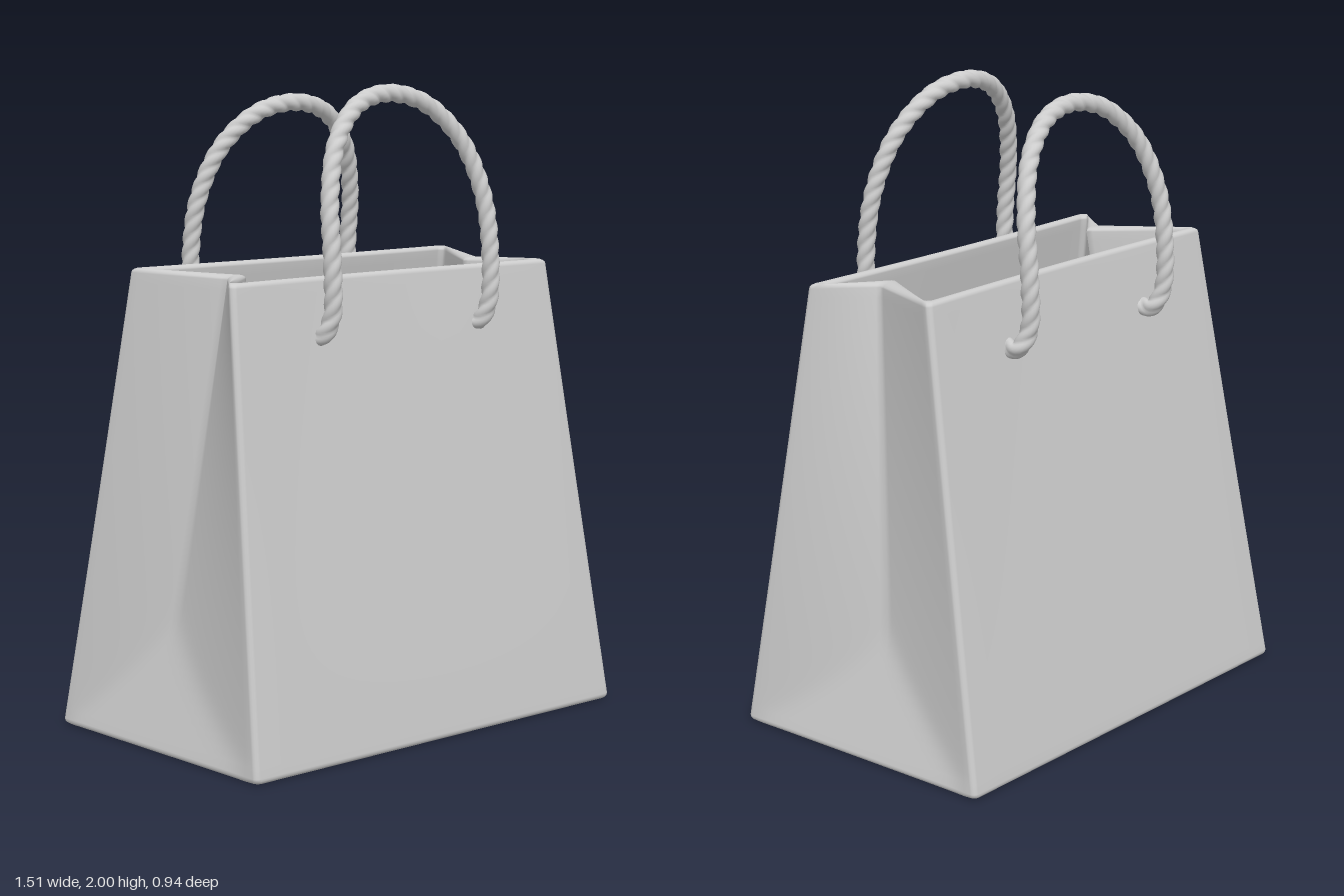
import * as THREE from 'three';
import { mergeVertices } from 'three/addons/utils/BufferGeometryUtils.js';

const { lerp } = THREE.MathUtils;
const HEIGHT = 1.42, WALL = 0.038, R = 0.018;
const softMin = (a, b) => 0.5 * (a + b - Math.hypot(a - b, 0.008));

// Horizontal cross-section of the bag at height y, with folded-in sides.
// Runs front left-to-right, right side, back, left side.
function section(y, inset, extraFold = 0, scale = 1) {
  const f = y / HEIGHT;
  const X = lerp(0.757, 0.66, f) - inset;
  const F = lerp(0.475, 0.262, f) - inset;
  const B = lerp(-0.475, -0.225, f) + inset;
  const g = (y - 0.38) / (HEIGHT - 0.38);
  const foldZ = lerp(-0.03, 0.085, g);
  const foldDepth = lerp(0.09, 0.13, g) + extraFold;
  const half = [];
  const panel = (k, z) => {
    const sag = 0.06 * Math.cos(k * Math.PI / 2) * f ** 3;
    half.push([k * (X - R), z * (1 - sag)]);
  };
  const arc = (cz, from) => {
    for (let k = 1; k <= 4; k++) {
      const a = from - k * Math.PI / 8;
      half.push([X - R + R * Math.cos(a), cz + R * Math.sin(a)]);
    }
  };
  const side = (z) => {
    const v = z > foldZ ? (F - R - z) / (F - R - foldZ) : (z - B - R) / (foldZ - B - R);
    half.push([X - softMin(foldDepth * v, 0.09 * y / 0.38), z]);
  };
  const N = 8, M = 16;
  for (let k = 0; k <= N; k++) panel(k / N, F);
  arc(F - R, Math.PI / 2);
  for (let k = 1; k <= M; k++) side(lerp(F - R, foldZ, k / M));
  for (let k = 1; k < M; k++) side(lerp(foldZ, B + R, k / M));
  half.push([X, B + R]);
  arc(B + R, 0);
  for (let k = N - 1; k >= 0; k--) panel(k / N, B);
  const mirrored = half.slice(1, -1).reverse().map(([x, z]) => [-x, z]);
  return [...half, ...mirrored].map(([x, z]) =>
    [x * scale, y * (1 + (0.015 - 0.03 * z) * f * f * 0.9), z * scale]);
}

// Closed skin: underside, outer walls, rounded rim, inner walls, floor
function bagGeometry() {
  const rows = [section(0, R, 0, 0.001), section(0, R, 0, 0.97)];
  for (let k = 0; k <= 4; k++) {
    const a = k * Math.PI / 8;
    rows.push(section(R * (1 - Math.cos(a)), R * (1 - Math.sin(a))));
  }
  const STEPS = 48;
  for (let k = 1; k <= STEPS; k++) rows.push(section(lerp(R, HEIGHT - 0.012, k / STEPS), 0));
  const outer = section(HEIGHT - 0.012, 0), inner = section(HEIGHT - 0.012, WALL, 0.035);
  for (let k = 1; k < 8; k++) {
    const a = k * Math.PI / 8, w = (1 - Math.cos(a)) / 2;
    rows.push(outer.map((p, i) => [
      lerp(p[0], inner[i][0], w),
      lerp(p[1], inner[i][1], w) + 0.014 * Math.sin(a),
      lerp(p[2], inner[i][2], w)]));
  }
  for (let k = STEPS; k >= 0; k--) rows.push(section(lerp(0.04, HEIGHT - 0.012, k / STEPS), WALL, 0.035));
  rows.push(section(0.04, WALL, 0.035, 0.97), section(0.04, WALL, 0.035, 0.001));

  const n = rows[0].length, index = [];
  for (let r = 0; r < rows.length - 1; r++) {
    for (let i = 0; i < n; i++) {
      const a = r * n + i, b = r * n + (i + 1) % n;
      index.push(a, b, b + n, a, b + n, a + n);
    }
  }
  const geo = new THREE.BufferGeometry();
  geo.setAttribute('position', new THREE.Float32BufferAttribute(rows.flat(2), 3));
  geo.setIndex(index);
  geo.computeVertexNormals();
  return geo;
}

// One continuous twisted cord: two arches joined by runs through the bag
function cordGeometry() {
  const leg = [
    [0.325, 1.265, 0.19], [0.33, 1.255, 0.28], [0.33, 1.31, 0.307], [0.332, 1.48, 0.312],
    [0.32, 1.66, 0.288], [0.26, 1.825, 0.25], [0.145, 1.935, 0.215]];
  const arch = (zSide, shift, drop) => {
    const place = ([x, y, z], s) => new THREE.Vector3(
      s * x + (y > 1.3 ? shift : 0), y > 1.3 ? y - drop * (y - 1.3) : y, zSide * z);
    return [
      ...leg.map((p) => place(p, zSide)),
      place([0, 1.97, 0.2], 1),
      ...leg.slice().reverse().map((p) => place(p, -zSide))];
  };
  const path = new THREE.CatmullRomCurve3([
    ...arch(1, 0.015, 0), new THREE.Vector3(-0.325, 1.262, 0),
    ...arch(-1, -0.02, 0.05), new THREE.Vector3(0.325, 1.262, 0)], true);
  path.arcLengthDivisions = 1000;

  const SEG = 720, SIDES = 18, TURNS = 30;
  const geo = new THREE.TubeGeometry(path, SEG, 1, SIDES, true);
  const pos = geo.attributes.position, v = new THREE.Vector3();
  for (let i = 0; i <= SEG; i++) {
    const c = path.getPointAt((i % SEG) / SEG);
    for (let j = 0; j <= SIDES; j++) {
      const id = i * (SIDES + 1) + j;
      const angle = (j / SIDES + TURNS * i / SEG) * Math.PI * 2;
      const radius = 0.023 + 0.006 * Math.abs(Math.cos(1.5 * angle)); // three strands
      v.fromBufferAttribute(pos, id).sub(c).multiplyScalar(radius).add(c);
      pos.setXYZ(id, v.x, v.y, v.z);
    }
  }
  geo.deleteAttribute('uv');
  geo.deleteAttribute('normal');
  const merged = mergeVertices(geo, 1e-5);
  merged.computeVertexNormals();
  return merged;
}

export function createModel() {
  const group = new THREE.Group();
  group.name = 'shoppingBag';
  const grey = new THREE.MeshStandardMaterial({ color: 0xcccccc });
  grey.name = 'lightGrey';
  const add = (name, geo) => {
    const mesh = new THREE.Mesh(geo, grey);
    mesh.name = name;
    group.add(mesh);
  };
  add('paperBag', bagGeometry());
  add('ropeHandles', cordGeometry());
  return group;
}
